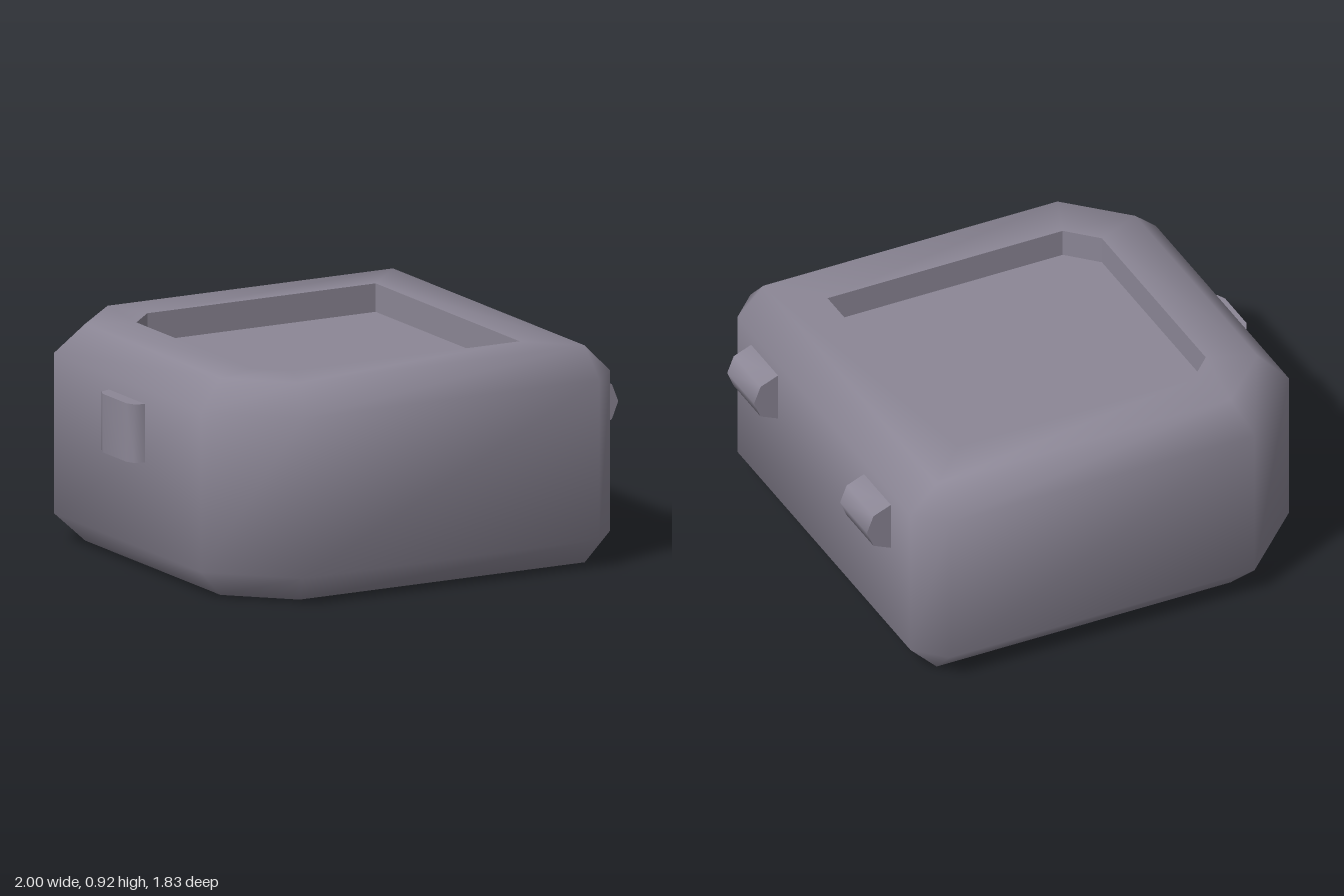
import * as THREE from 'three';
import { mergeVertices, toCreasedNormals } from 'three/addons/utils/BufferGeometryUtils.js';

// Skin a stack of closed [x, z] rings, each at its own height
function loft(rings) {
  const pos = [];
  const n = rings[0].pts.length;
  const put = (r, i) => pos.push(r.pts[i][0], r.y, r.pts[i][1]);
  for (let k = 0; k < rings.length - 1; k++) {
    const a = rings[k], b = rings[k + 1];
    for (let i = 0; i < n; i++) {
      const j = (i + 1) % n;
      put(a, i); put(b, i); put(a, j);
      put(b, i); put(b, j); put(a, j);
    }
  }
  const g = new THREE.BufferGeometry();
  g.setAttribute('position', new THREE.Float32BufferAttribute(pos, 3));
  return g;
}

// Smooth normals weighted by corner angle; collapsed triangles are dropped
function smooth(source) {
  const g = mergeVertices(source);
  const p = g.attributes.position;
  const v = (i) => new THREE.Vector3().fromBufferAttribute(p, i);
  const sums = Array.from({ length: p.count }, () => new THREE.Vector3());
  const kept = [];
  for (let t = 0; t < g.index.count; t += 3) {
    const id = [0, 1, 2].map((k) => g.index.getX(t + k));
    const c = id.map(v);
    const face = c[1].clone().sub(c[0]).cross(c[2].clone().sub(c[0]));
    if (face.length() < 1e-7) continue;
    face.normalize();
    kept.push(...id);
    id.forEach((vi, k) => {
      const e1 = c[(k + 1) % 3].clone().sub(c[k]);
      const e2 = c[(k + 2) % 3].clone().sub(c[k]);
      sums[vi].addScaledVector(face, e1.angleTo(e2));
    });
  }
  g.setIndex(kept);
  g.setAttribute('normal', new THREE.Float32BufferAttribute(
    sums.flatMap((s) => s.normalize().toArray()), 3));
  return g;
}

// Extruded profile with rounded sides and sharp ends
function extrude(points, depth) {
  const shape = new THREE.Shape(points.map(([x, y]) => new THREE.Vector2(x, y)));
  const g = new THREE.ExtrudeGeometry(shape, { depth, bevelEnabled: false });
  return toCreasedNormals(g, 1.0);
}

// Complete an outline from its front half, mirrored to the back
const mirrorZ = (half) => [...half, ...half.slice().reverse().map(([x, z]) => [x, -z])];

export function createModel() {
  const group = new THREE.Group();
  const shellGrey = new THREE.MeshStandardMaterial({ color: 0x8c8796 });
  shellGrey.name = 'shellGrey';
  const add = (name, geometry) => {
    const mesh = new THREE.Mesh(geometry, shellGrey);
    mesh.name = name;
    group.add(mesh);
    return mesh;
  };

  const wide = mirrorZ([[0.89, 0.795], [0.77, 0.915], [-0.63, 0.915], [-0.94, 0.61]]);
  const inset = mirrorZ([[0.77, 0.795], [0.77, 0.795], [-0.58, 0.795], [-0.82, 0.56]]);
  const opening = mirrorZ([[0.575, 0.597], [0.575, 0.597], [-0.505, 0.597], [-0.625, 0.477]]);
  const toPoint = (pts) => pts.map(() => pts[0]);

  // Bevelled case: base, sides and rim
  add('caseShell', smooth(loft([
    { y: 0, pts: toPoint(inset) },
    { y: 0, pts: inset },
    { y: 0.12, pts: wide },
    { y: 0.795, pts: wide },
    { y: 0.915, pts: inset },
    { y: 0.915, pts: opening },
  ])));

  // Sunken tray in the top
  const trayY = 0.795;
  const flat = (rings) => {
    const g = loft(rings);
    g.computeVertexNormals();
    return g;
  };
  add('trayWalls', flat([{ y: 0.915, pts: opening }, { y: trayY, pts: opening }]));
  add('trayFloor', flat([{ y: trayY, pts: opening }, { y: trayY, pts: toPoint(opening) }]));

  // Two hinge knuckles on the left side
  const knuckle = [[0.87, 0.52], [0.89, 0.52], [0.97, 0.555], [1, 0.628],
    [0.97, 0.703], [0.89, 0.735], [0.87, 0.735]];
  [['hingeBack', -0.615], ['hingeFront', 0.422]].forEach(([name, z]) => {
    add(name, extrude(knuckle, 0.247)).position.z = z;
  });

  // Latch tab on the right side, extruded upward
  const tab = [[-0.92, -0.148], [-0.92, 0.153], [-0.94, 0.153], [-0.983, 0.137],
    [-1, 0.1], [-1, -0.095], [-0.983, -0.132], [-0.94, -0.148]];
  const latch = add('latch', extrude(tab, 0.247));
  latch.rotation.x = -Math.PI / 2;
  latch.position.y = 0.488;

  return group;
}
